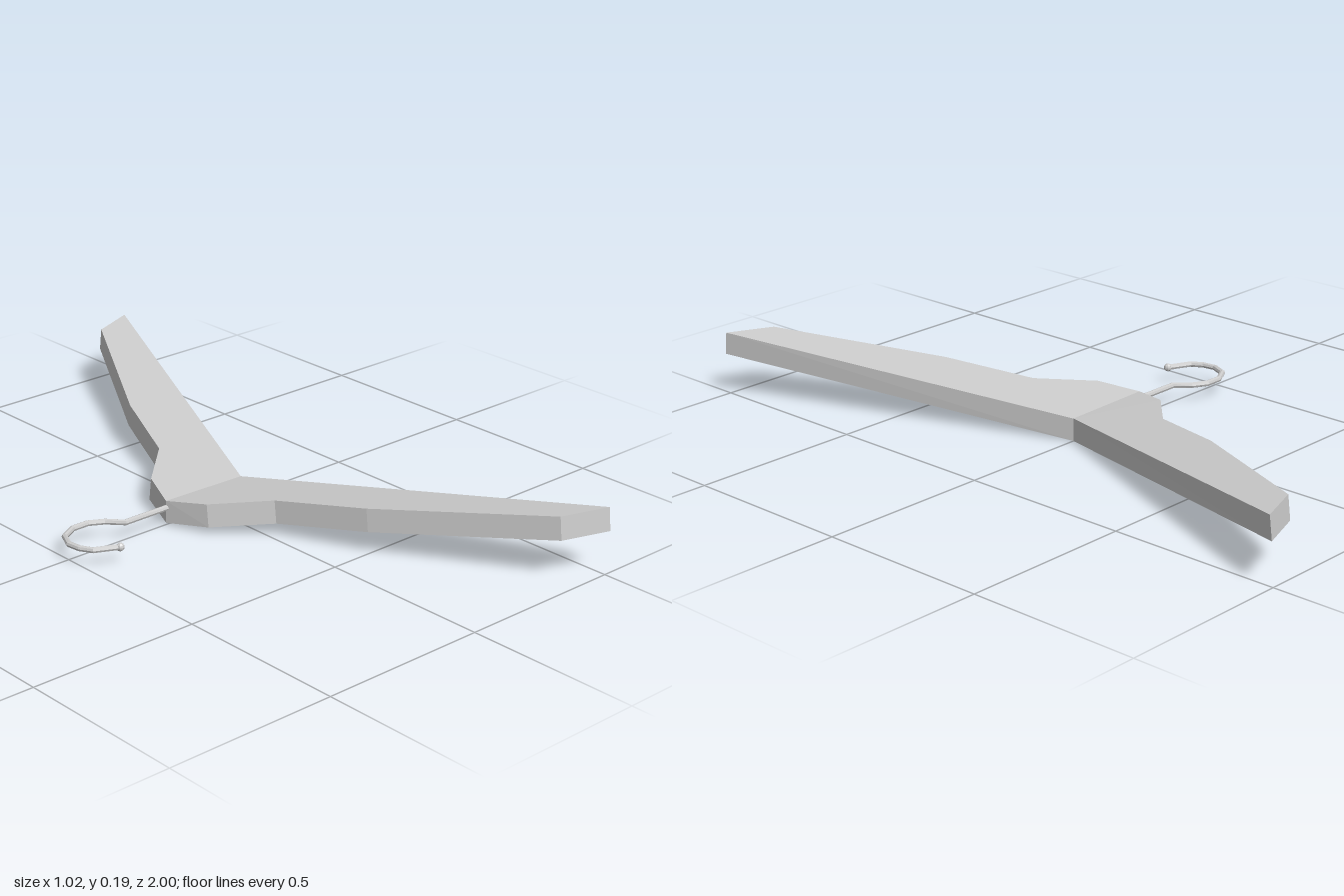
import * as THREE from 'three';

const material = new THREE.MeshStandardMaterial({ color: 0xcccccc, flatShading: true });

// Outline of one arm seen from above: [x, distance from the centre line]
const OUTLINE = [
  [-0.16, 0], [-0.115, 0.125], [0.02, 0.25], [0.12, 0.5],
  [0.375, 0.95], [0.51, 1], [0.115, 0],
];

// Bend line of the wire hook: [x, z]
const HOOK = [
  [-0.14, 0], [-0.305, 0], [-0.342, -0.04], [-0.384, -0.063], [-0.436, -0.063],
  [-0.483, -0.037], [-0.504, 0.008], [-0.499, 0.047], [-0.48, 0.08], [-0.413, 0.111],
];
const HOOK_Y = 0.052;

// Straight segments through points, one tube ring per point
class Polyline extends THREE.Curve {
  constructor(points) {
    super();
    this.points = points;
  }
  getPoint(t, target = new THREE.Vector3()) {
    const n = this.points.length - 1;
    const i = Math.min(Math.floor(t * n), n - 1);
    return target.lerpVectors(this.points[i], this.points[i + 1], t * n - i);
  }
  getPointAt(u, target) { return this.getPoint(u, target); }
  getTangentAt(u, target) { return this.getTangent(u, target); }
}

// Slab arm rising outwards; its end walls stay square to the slope
function createArm(side) {
  const shape = new THREE.Shape(OUTLINE.map(([x, z]) => new THREE.Vector2(x, side * z)));
  const geometry = new THREE.ExtrudeGeometry(shape, { depth: 1, bevelEnabled: false });
  geometry.rotateX(Math.PI / 2).translate(0, 1, 0);
  const p = geometry.attributes.position;
  for (let i = 0; i < p.count; i++) {
    const x = p.getX(i), top = p.getY(i) > 0.5;
    const reach = Math.abs(p.getZ(i));
    const y = 0.002 - 0.018 * (x - 0.115) + 0.13 * reach;
    p.setY(i, y + (top ? 0.066 : 0));
    if (top && reach > 0.01) p.setZ(i, side * (reach - 0.008));
  }
  geometry.computeVertexNormals();
  const arm = new THREE.Mesh(geometry, material);
  arm.name = side > 0 ? 'frontArm' : 'backArm';
  return arm;
}

export function createModel() {
  const hanger = new THREE.Group();
  hanger.name = 'coatHanger';
  hanger.add(createArm(1), createArm(-1));

  // Wire hook
  const points = HOOK.map(([x, z]) => new THREE.Vector3(x, HOOK_Y, z));
  const hook = new THREE.Mesh(
    new THREE.TubeGeometry(new Polyline(points), points.length - 1, 0.0085, 8), material);
  hook.name = 'hook';
  hanger.add(hook);

  // Small knob closing the hook
  const tip = new THREE.Mesh(new THREE.SphereGeometry(0.012, 8, 6), material);
  tip.name = 'hookTip';
  tip.position.copy(points[points.length - 1]);
  hanger.add(tip);

  return hanger;
}
